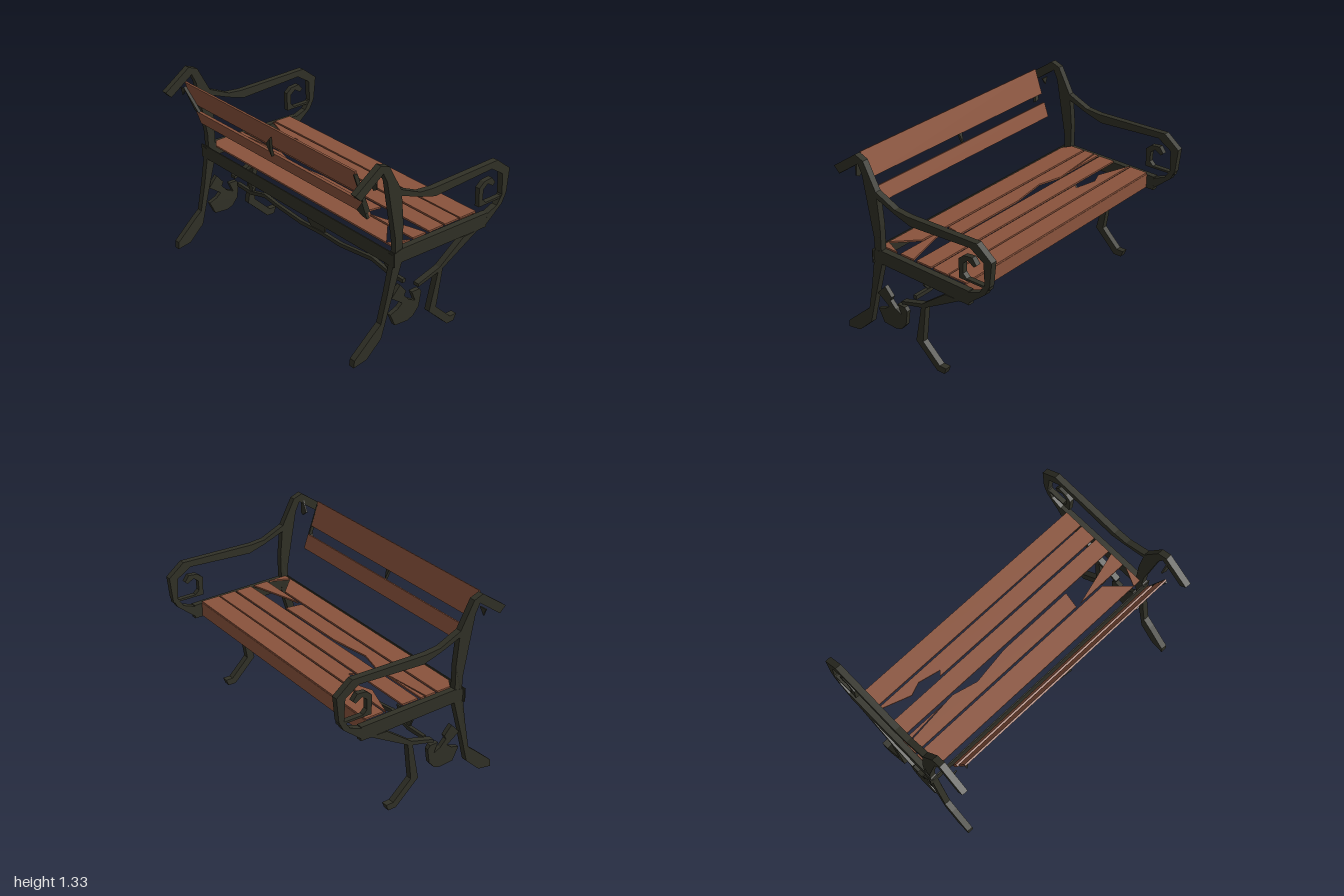
import * as THREE from 'three';

const wood = new THREE.MeshStandardMaterial({ color: 0x8a533c });
wood.name = 'brown wood';
const iron = new THREE.MeshStandardMaterial({ color: 0x303026 });
iron.name = 'dark iron';

// Outline extruded and centred on its own plane
function plate(points, depth) {
  const shape = new THREE.Shape(points.map(([a, b]) => new THREE.Vector2(a, b)));
  return new THREE.ExtrudeGeometry(shape, { depth, bevelEnabled: false }).translate(0, 0, -depth / 2);
}

function add(parent, name, geometry, material) {
  const mesh = new THREE.Mesh(geometry, material);
  mesh.name = name;
  parent.add(mesh);
  return mesh;
}

// Side frame outlines as [z, y]
const sideParts = {
  backPost: [[0.62, 0.01], [0.615, 0.06], [0.47, 0.19], [0.41, 0.24], [0.367, 0.435], [0.315, 0.717],
    [0.318, 0.806], [0.392, 1.21], [0.424, 1.275], [0.594, 1.155], [0.636, 1.198], [0.445, 1.332],
    [0.378, 1.307], [0.279, 1.124], [0.258, 0.894], [0.261, 0.629], [0.339, 0.364], [0.403, 0.134],
    [0.516, 0.028]],
  armrest: [[0.286, 1.13], [0.127, 1.06], [0.02, 1.05], [-0.53, 1.064], [-0.643, 0.975], [-0.625, 0.81],
    [-0.59, 0.742], [-0.46, 0.635], [-0.46, 0.71], [-0.544, 0.742], [-0.587, 0.806], [-0.58, 0.954],
    [-0.48, 1.018], [0, 0.99], [0.127, 1.028], [0.276, 1.085]],
  armScroll: [[-0.62, 0.782], [-0.385, 0.78], [-0.382, 0.912], [-0.424, 0.947], [-0.491, 0.954],
    [-0.523, 0.912], [-0.502, 0.894], [-0.456, 0.922], [-0.42, 0.894], [-0.417, 0.823], [-0.445, 0.795],
    [-0.62, 0.797]],
  seatRail: [[0.336, 0.703], [0.261, 0.724], [-0.46, 0.717], [-0.46, 0.618], [0.261, 0.629], [0.332, 0.632]],
  frontLeg: [[-0.46, 0.625], [-0.38, 0.615], [-0.095, 0.45], [-0.057, 0.18], [-0.19, 0.053], [-0.244, 0.053],
    [-0.226, 0.007], [-0.166, 0.007], [0.002, 0.166], [-0.057, 0.436], [0.11, 0.392], [0.11, 0.414],
    [-0.067, 0.467], [-0.265, 0.615]],
  leafScroll: [[0.258, 0.463], [0.205, 0.4], [0.219, 0.371], [0.177, 0.325], [0.125, 0.3], [0.155, 0.371],
    [0.092, 0.371], [0.074, 0.346], [0.092, 0.24], [0.135, 0.19], [0.184, 0.173], [0.286, 0.18],
    [0.329, 0.272], [0.268, 0.293], [0.233, 0.322], [0.325, 0.389]],
};
const thickness = { armScroll: 0.035, leafScroll: 0.03 };

function sideFrame(side) {
  const frame = new THREE.Group();
  frame.name = side > 0 ? 'leftFrame' : 'rightFrame';
  for (const [name, outline] of Object.entries(sideParts)) {
    const geometry = plate(outline, thickness[name] ?? 0.043).rotateY(-Math.PI / 2);
    // The legs lean slightly inward towards the ground
    const p = geometry.attributes.position;
    for (let i = 0; i < p.count; i++) {
      p.setX(i, p.getX(i) + side * (0.962 - 0.02 * Math.max(0, 1 - p.getY(i) / 0.7)));
    }
    geometry.computeVertexNormals();
    add(frame, name, geometry, iron);
  }
  return frame;
}

// Seat boards as [x, z] outlines, some broken
const rect = (z0, z1) => [[-0.94, z0], [0.94, z0], [0.94, z1], [-0.94, z1]];
const seatBoards = [
  rect(-0.4, -0.265),
  [[-0.945, -0.25], [0.94, -0.255], [0.94, -0.135], [-0.48, -0.135], [-0.45, -0.165], [-0.61, -0.2], [-0.7, -0.165]],
  rect(-0.12, 0),
  [[-0.945, 0.06], [-0.51, 0.015], [-0.33, 0.06], [-0.05, 0.02], [0.52, 0.018], [0.5, 0.135], [-0.945, 0.135]],
  [[-0.945, 0.02], [-0.6, 0.02], [-0.945, 0.05]],
  [[0.54, 0.135], [0.94, 0.025], [0.94, 0.135]],
  [[-0.945, 0.15], [0.73, 0.15], [0.88, 0.295], [-0.88, 0.295], [-0.945, 0.25]],
  [[0.94, 0.16], [0.94, 0.295], [0.88, 0.295]],
];

export function createModel() {
  const bench = new THREE.Group();
  bench.name = 'gardenBench';
  bench.add(sideFrame(1), sideFrame(-1));

  // Seat
  const seat = new THREE.Group();
  seat.name = 'seat';
  bench.add(seat);
  for (const outline of seatBoards) {
    add(seat, 'seatBoard', plate(outline, 0.012).rotateX(Math.PI / 2).translate(0, 0.728, 0), wood);
  }
  add(seat, 'frontApron', new THREE.BoxGeometry(1.88, 0.1, 0.012).translate(0, 0.672, -0.396), wood);
  add(bench, 'rearRail', new THREE.BoxGeometry(1.99, 0.095, 0.008).translate(-0.003, 0.668, 0.33), iron);

  // Reclined backrest with iron clips on its rear face
  const backrest = new THREE.Group();
  backrest.name = 'backrest';
  backrest.position.set(0, 0.94, 0.41);
  backrest.rotation.x = 0.34;
  bench.add(backrest);
  add(backrest, 'upperBackBoard', new THREE.BoxGeometry(1.72, 0.18, 0.012).translate(0, 0.27, 0), wood);
  add(backrest, 'lowerBackBoard', new THREE.BoxGeometry(1.72, 0.105, 0.018).translate(0, 0.062, 0), wood);
  const clips = [
    [[-0.86, 0.33], [-0.83, 0.15], [-0.79, 0.14]],
    [[-0.03, 0.2], [-0.012, 0.1], [0, 0.16], [0.042, 0.275]],
    [[0.78, 0.04], [0.82, 0.01], [0.86, 0], [0.865, 0.14], [0.84, 0.11]],
  ];
  for (const clip of clips) add(backrest, 'backClip', plate(clip, 0.02).translate(0, 0, 0.018), iron);
  add(backrest, 'endClip', new THREE.BoxGeometry(0.012, 0.3, 0.025).translate(0.856, 0.19, 0.006), iron);

  // Small flared tips on the post tops
  add(bench, 'postTip', plate([[0.9, 1.2], [0.945, 1.165], [0.97, 1.18], [0.96, 1.31]], 0.01).translate(0, 0, 0.46), iron);
  add(bench, 'postTip', plate([[-0.96, 1.2], [-0.94, 1.15], [-0.905, 1.2]], 0.01).translate(0, 0, 0.5), iron);

  // Wavy stretcher between the frames
  const top = [[-0.88, 0.39], [-0.72, 0.385], [-0.56, 0.425], [-0.42, 0.405], [-0.16, 0.385], [0.05, 0.395],
    [0.25, 0.39], [0.56, 0.425], [0.72, 0.395], [0.85, 0.395]];
  const bottom = top.map(([x, y]) => [x, y - 0.027]).reverse();
  add(bench, 'stretcher', plate([...bottom, ...top], 0.025).translate(0, 0, 0.115), iron);

  // Leaves on the stretcher
  const leaves = [
    [[-0.1, 0.43], [-0.03, 0.37], [0.08, 0.39], [0.09, 0.43], [0.065, 0.49], [0.02, 0.455], [-0.06, 0.475]],
    [[-0.78, 0.49], [-0.74, 0.39], [-0.7, 0.385], [-0.72, 0.485], [-0.75, 0.455]],
    [[-0.64, 0.485], [-0.615, 0.45], [-0.6, 0.485]],
    [[0.6, 0.45], [0.63, 0.44], [0.62, 0.5]],
    [[0.67, 0.43], [0.73, 0.385], [0.77, 0.43], [0.76, 0.46], [0.72, 0.44], [0.69, 0.49]],
  ];
  for (const leaf of leaves) add(bench, 'stretcherLeaf', plate(leaf, 0.014).translate(0, 0, 0.115), iron);
  return bench;
}
